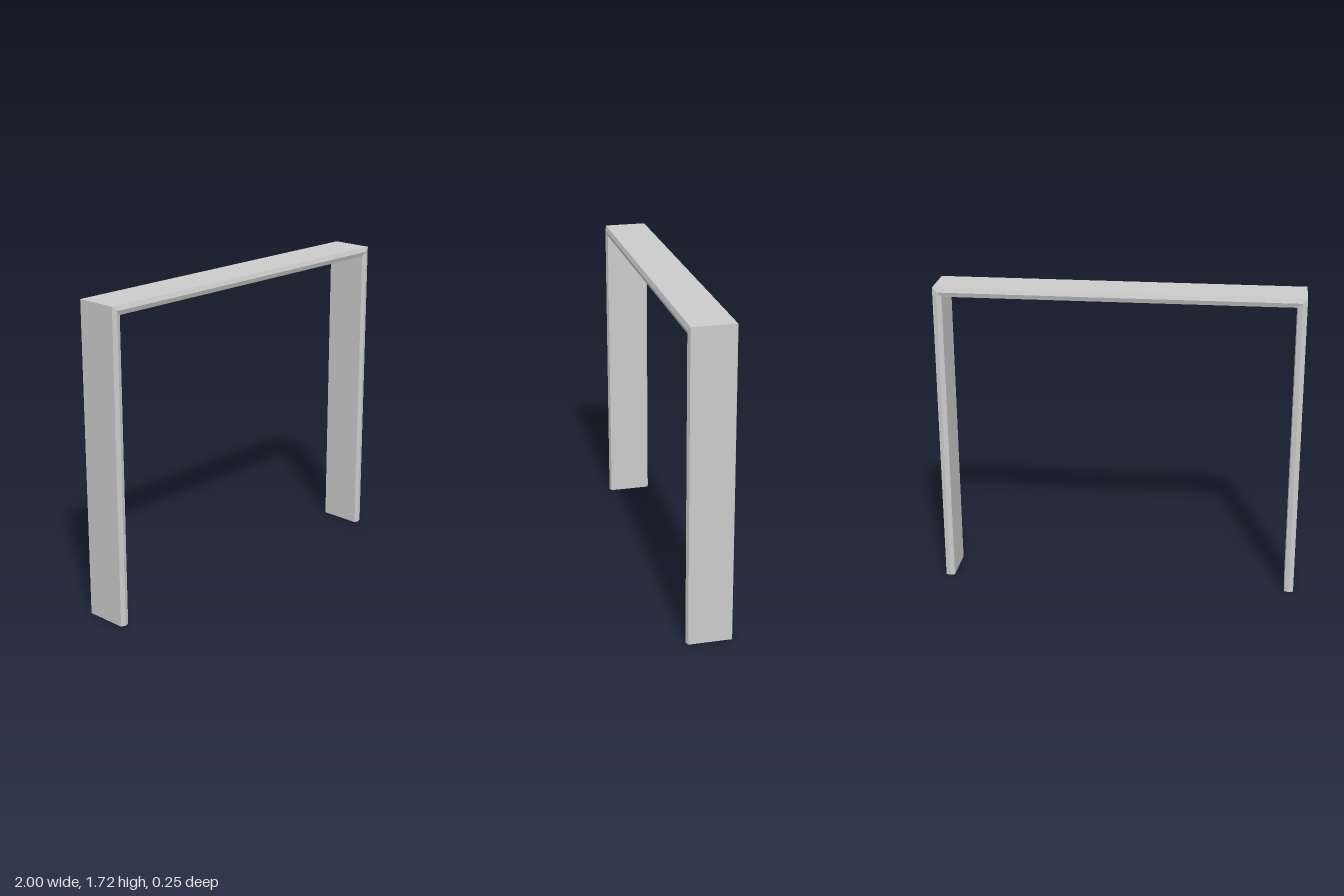
import * as THREE from 'three';

const HEIGHT = 1.72, HALF = 1, THICK = 0.05;

// Frame cross-section: [distance in from the outer face, z], a flat band with ridged edges
const SECTION = [
  [0, 0.117], [THICK / 2, 0.126], [THICK, 0.117],
  [THICK, -0.117], [THICK / 2, -0.126], [0, -0.117],
];

// Joins two stations of the section with flat panels; the ends stay open
function member(name, start, end, material) {
  const positions = [];
  SECTION.forEach((p, i) => {
    const q = SECTION[(i + 1) % SECTION.length];
    const a = start(...p), b = start(...q), c = end(...q), d = end(...p);
    positions.push(...a, ...b, ...c, ...a, ...c, ...d);
  });
  const geometry = new THREE.BufferGeometry();
  geometry.setAttribute('position', new THREE.Float32BufferAttribute(positions, 3));
  geometry.computeVertexNormals();
  const mesh = new THREE.Mesh(geometry, material);
  mesh.name = name;
  return mesh;
}

export function createModel() {
  const group = new THREE.Group();
  group.name = 'doorFrame';
  const material = new THREE.MeshStandardMaterial({
    color: 0xcccccc, flatShading: true, side: THREE.DoubleSide,
  });

  // Stations along the frame: both feet and both mitred corners
  const rightFoot = (d, z) => [-HALF + d, 0, z];
  const rightCorner = (d, z) => [-HALF + d, HEIGHT - d, z];
  const leftCorner = (d, z) => [HALF - d, HEIGHT - d, z];
  const leftFoot = (d, z) => [HALF - d, 0, z];

  group.add(
    member('rightJamb', rightFoot, rightCorner, material),
    member('header', rightCorner, leftCorner, material),
    member('leftJamb', leftCorner, leftFoot, material),
  );
  return group;
}
